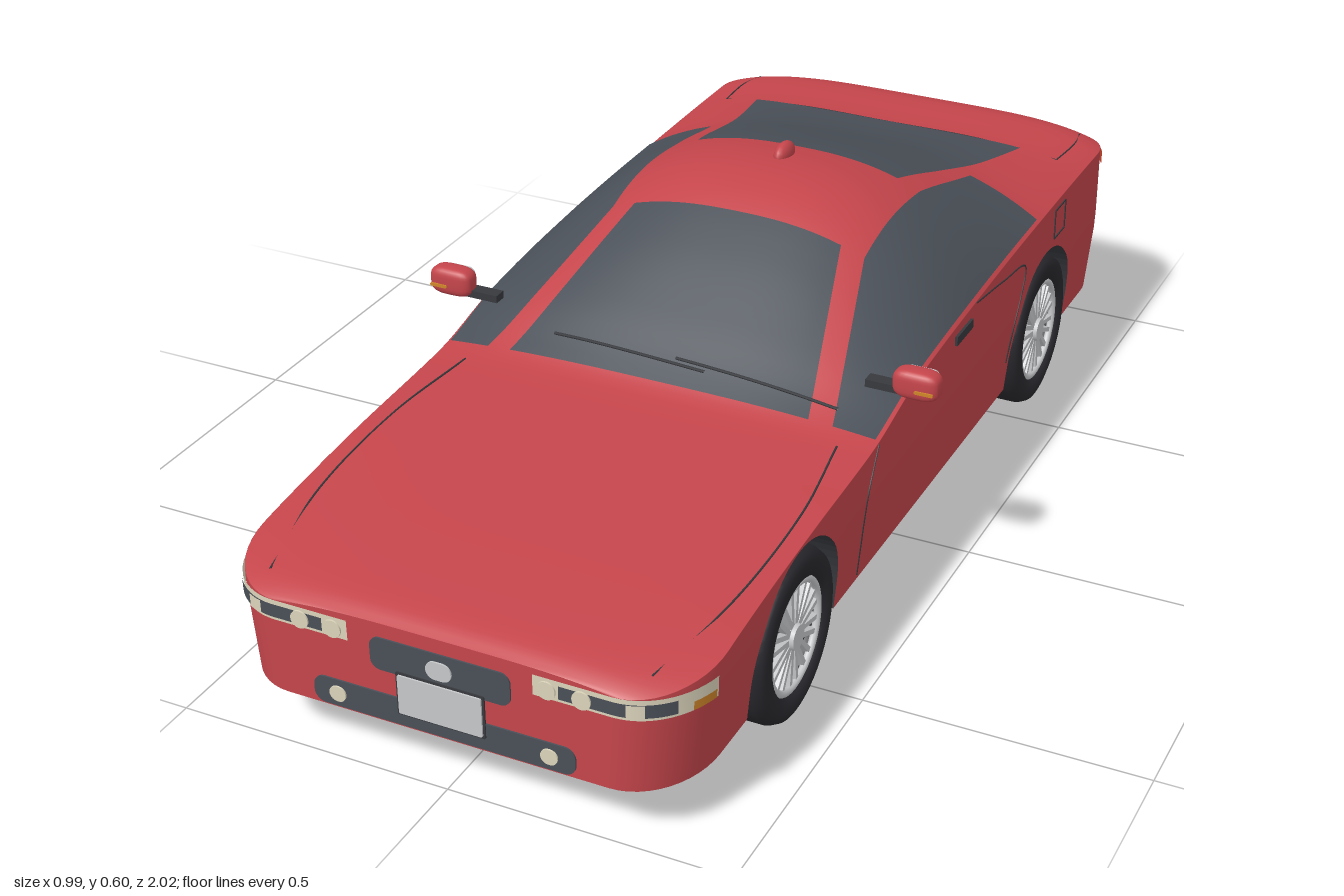
import * as THREE from 'three';

const mat = (name, color, side = THREE.DoubleSide) =>
  Object.assign(new THREE.MeshStandardMaterial({ color, side }), { name });

// Smooth curve through [z, value] pairs, ascending in z
function table(p) {
  const slope = (i) => {
    const a = p[Math.max(0, i - 1)], b = p[Math.min(p.length - 1, i + 1)];
    return (b[1] - a[1]) / (b[0] - a[0]);
  };
  return (z) => {
    let i = 0;
    while (i < p.length - 2 && z > p[i + 1][0]) i++;
    const d = p[i + 1][0] - p[i][0], t = Math.min(1, Math.max(0, (z - p[i][0]) / d)), t2 = t * t, t3 = t2 * t;
    return (2 * t3 - 3 * t2 + 1) * p[i][1] + (t3 - 2 * t2 + t) * d * slope(i)
      + (3 * t2 - 2 * t3) * p[i + 1][1] + (t3 - t2) * d * slope(i + 1);
  };
}

// Body rules: centre line height, shoulder height, roundness of the top, half width
const topY = table([[-1, .425], [-.95, .438], [-.8, .445], [-.65, .475], [-.5, .525], [-.35, .568], [-.22, .585],
  [-.12, .57], [0, .515], [.14, .435], [.24, .375], [.29, .354], [.5, .34], [.75, .322], [.9, .308], [.97, .298], [1, .285]]);
const beltY = table([[-1, .405], [-.9, .412], [-.5, .41], [-.2, .4], [.1, .38], [.25, .35], [.32, .342],
  [.58, .327], [.8, .305], [.93, .285], [1, .272]]);
const power = table([[-1, 5], [-.8, 5], [-.6, 3], [-.4, 2.6], [.2, 2.6], [.32, 3], [.6, 4], [1, 4]]);
const FRONT = { cx: .3, cz: .85, rx: .12, rz: .15 }, REAR = { cx: .33, cz: -.9, rx: .09, rz: -.1 };
function halfW(z) {
  const c = z > FRONT.cz ? FRONT : z < REAR.cz ? REAR : null;
  return c ? c.cx + c.rx * Math.sqrt(Math.max(0, 1 - ((z - c.cz) / c.rz) ** 2)) : .42;
}
const taper = (y) => .965 + .035 * Math.min(1, Math.max(0, (y - .1) / .15));
const sideX = (y, z) => halfW(z) * taper(y);
const height = (x, z) => {
  const b = beltY(z), t = Math.min(1, Math.abs(x) / halfW(z));
  return b + (topY(z) - b) * (1 - t ** power(z));
};
// Point lifted off the upper surface
function onTop(x, z, lift) {
  const e = .002, n = new THREE.Vector3(height(x - e, z) - height(x + e, z), 2 * e, height(x, z - e) - height(x, z + e));
  return n.normalize().multiplyScalar(lift).add(new THREE.Vector3(x, height(x, z), z));
}

// Surface from equal rows of points
function loft(rows) {
  const n = rows[0].length, idx = [];
  for (let i = 0; i < rows.length - 1; i++) for (let j = 0; j < n - 1; j++) {
    const a = i * n + j, c = a + n;
    idx.push(a, a + 1, c, a + 1, c + 1, c);
  }
  const g = new THREE.BufferGeometry();
  g.setAttribute('position', new THREE.Float32BufferAttribute(rows.flat().flatMap((v) => [v.x, v.y, v.z]), 3));
  g.setIndex(idx);
  g.computeVertexNormals();
  return g;
}

// Stations along the car with lower edge height, following the wheel arches
const AXLES = [-.6, .58], ARCH = .172;
function stations() {
  const s = [];
  const line = (a, b, n) => { for (let i = 0; i <= n; i++) s.push([a + (b - a) * i / n, .1]); };
  const arch = (c) => { for (let i = 0; i <= 28; i++) { const q = Math.PI * i / 28; s.push([c - ARCH * Math.cos(q), .15 + ARCH * Math.sin(q)]); } };
  for (let i = 0; i < 12; i++) s.push([-.9 - .1 * Math.cos(i / 12 * Math.PI / 2), .1]);
  line(-.9, AXLES[0] - ARCH, 6); arch(AXLES[0]);
  line(AXLES[0] + ARCH, AXLES[1] - ARCH, 44); arch(AXLES[1]);
  line(AXLES[1] + ARCH, .85, 5);
  for (let i = 1; i <= 12; i++) s.push([.85 + .15 * Math.sin(i / 12 * Math.PI / 2), .1]);
  return s;
}
function section(z, yb) {
  const half = [], b = beltY(z), w = halfW(z);
  for (let i = 0; i < 9; i++) { const y = yb + (b - yb) * i / 9; half.push(new THREE.Vector3(sideX(y, z), y, z)); }
  for (let i = 0; i <= 26; i++) { const x = w * Math.cos(i / 26 * Math.PI / 2); half.push(new THREE.Vector3(x, height(x, z), z)); }
  const other = half.slice(0, -1).reverse().map((v) => new THREE.Vector3(-v.x, v.y, v.z));
  return [...half, ...other];
}

export function createModel() {
  const car = new THREE.Group();
  car.name = 'car';
  const paint = mat('red paint', 0xc4454b), glass = mat('dark glass', 0x4a5058), trim = mat('dark trim', 0x37393d),
    rubber = mat('tyre rubber', 0x29292e), silver = mat('silver', 0xc6c8ca), cream = mat('lamp cream', 0xdcd5bc),
    amber = mat('amber', 0xd0862a), tail = mat('tail lamp red', 0xc8452a);
  const add = (name, geo, m, parent = car) => {
    const mesh = new THREE.Mesh(geo, m);
    mesh.name = name;
    parent.add(mesh);
    return mesh;
  };
  const box = (name, m, size, pos, parent) => {
    const b = add(name, new THREE.BoxGeometry(...size), m, parent);
    b.position.set(...pos);
    return b;
  };

  // Body shell, end faces, underside
  const st = stations();
  add('bodyShell', loft(st.map(([z, y]) => section(z, y))), paint);
  for (const e of [1, -1]) {
    const face = add(e > 0 ? 'nose' : 'tailPanel', new THREE.ShapeGeometry(new THREE.Shape(section(e, .1).map((v) => new THREE.Vector2(v.x, v.y)))), paint);
    face.position.z = e;
    if (e < 0) face.rotation.y = Math.PI;
  }
  const under = loft(st.map(([z, y]) => [-1, 1].map((s) => new THREE.Vector3(s * sideX(y, z), y, z)))).toNonIndexed();
  under.computeVertexNormals();
  add('underside', under, trim);

  // Windows: rows of [z, x from, x to]
  const pane = (name, rows, s = 1) => {
    const grid = [];
    for (let k = 0; k < rows.length - 1; k++) for (let i = k ? 1 : 0; i <= 16; i++) {
      const [z, a, b] = rows[k].map((v, q) => v + (rows[k + 1][q] - v) * i / 16);
      grid.push(Array.from({ length: 25 }, (_, j) => onTop(s * (a + (b - a) * j / 24), z, .004)));
    }
    add(name, loft(grid), glass);
  };
  pane('windscreen', [[-.07, -.205, .205], [.26, -.29, .29]]);
  pane('rearWindow', [[-.79, -.29, .29], [-.335, -.205, .205]]);

  // Plates that follow the rounded ends: u 0..1 flat part, 1..2 corner
  const wrap = (name, m, end, s, u0, u1, y0, y1, lift = .004) => {
    const d = Math.sign(end.rz);
    add(name, loft(Array.from({ length: 21 }, (_, i) => {
      const u = u0 + (u1 - u0) * i / 20, q = (2 - Math.max(1, u)) * Math.PI / 2;
      const x = u < 1 ? u * end.cx : end.cx + end.rx * Math.cos(q), z = end.cz + end.rz * Math.sin(q);
      return [y0, y1].map((y) => new THREE.Vector3(s * (x * taper(y) + lift * Math.cos(q)), y, z + d * lift * Math.sin(q)));
    })), m);
  };
  const tube = (name, pts, r = .002) => add(name, new THREE.TubeGeometry(new THREE.CatmullRomCurve3(pts, false, 'centripetal'), 40, r, 5), trim);
  const roundRect = (w, h, r) => {
    const p = new THREE.Shape();
    [[w / 2 - r, h / 2 - r, 0], [r - w / 2, h / 2 - r, 1], [r - w / 2, r - h / 2, 2], [w / 2 - r, r - h / 2, 3]]
      .forEach(([x, y, q]) => p.absarc(x, y, r, q * Math.PI / 2, (q + 1) * Math.PI / 2));
    return p;
  };
  const plate = (name, m, w, h, r, x, y, z) => {
    const p = add(name, new THREE.ExtrudeGeometry(roundRect(w, h, r), { depth: .003, bevelEnabled: false, curveSegments: 8 }), m);
    p.position.set(x, y, z);
    return p;
  };

  // Front and rear details
  plate('grille', glass, .25, .06, .018, 0, .23, 1.001);
  plate('lowerIntake', glass, .47, .05, .02, 0, .13, 1.001);
  plate('grilleOval', silver, .046, .033, .0164, 0, .23, 1.004);
  plate('frontPlateFrame', trim, .158, .08, .003, 0, .167, 1.003);
  plate('frontPlate', silver, .15, .072, .003, 0, .167, 1.006);
  plate('rearPlateFrame', trim, .158, .086, .003, 0, .26, -1.004);
  plate('rearPlate', silver, .15, .078, .003, 0, .26, -1.007);
  const exhaust = add('exhaust', new THREE.CylinderGeometry(.014, .014, .06, 16), silver);
  exhaust.rotation.x = Math.PI / 2;
  exhaust.position.set(-.26, .1, -.96);

  for (const s of [1, -1]) {
    pane('sideWindow', [[-.54, .275, .413], [-.335, .25, .413], [-.07, .25, .413], [.26, .335, .413]], s);

    // Head lamps
    wrap('headLamp', cream, FRONT, s, .55, 1.85, .238, .275);
    wrap('headLampInsert', glass, FRONT, s, .7, 1.5, .244, .268, .006);
    for (const x of [.19, .25]) plate('lampBulb', cream, .032, .032, .0158, s * x, .255, 1.006);
    wrap('cornerBulb', cream, FRONT, s, 1.12, 1.26, .244, .268, .008);
    wrap('frontIndicator', amber, FRONT, s, 1.62, 1.82, .24, .256, .006);
    plate('fogLamp', cream, .03, .028, .0138, s * .19, .13, 1.004);

    // Tail lamps and bumper strip
    wrap('tailLamp', tail, REAR, s, .6, 1.75, .372, .4);
    wrap('reverseLamp', cream, REAR, s, .78, .95, .376, .396, .006);
    wrap('rearIndicator', amber, REAR, s, 1.02, 1.35, .376, .396, .006);
    wrap('rearBumperStrip', glass, REAR, s, 0, 1.05, .14, .178);

    // Panel gaps, handle and fuel flap
    const side = (z, y) => new THREE.Vector3(s * sideX(y, z), y, z);
    tube('doorFrontGap', [[.31, .11], [.305, .26], [.28, .31], [.26, .345]].map((p) => side(...p)));
    tube('doorRearGap', [[-.2, .398], [-.35, .375], [-.475, .348], [-.46, .3], [-.425, .24], [-.41, .17]].map((p) => side(...p)));
    const strip = (xs) => xs.map(([x, z]) => onTop(s * x, z, 0));
    tube('bonnetGap', strip([[.36, .3], [.385, .5], [.38, .75], [.34, .95]]));
    tube('bootGap', strip([[0, -.8], [.2, -.8], [.365, -.8]]), .0015);
    tube('bootSideGap', strip([[.365, -.8], [.37, -.9], [.36, -.96]]), .0015);
    box('doorHandle', trim, [.01, .018, .08], [s * .42, .37, -.135]);
    if (s > 0) {
      const q = .03;
      [[q, 0, .003, .06], [-q, 0, .003, .06], [0, q, .06, .003], [0, -q, .06, .003]]
        .forEach(([dz, dy, h, l]) => box('fuelFlapGap', trim, [.004, l, h], [.42, .365 + dy, -.67 + dz]));
    }

    // Door mirrors
    box('mirrorArm', trim, [.07, .014, .025], [s * .395, .41, .17]);
    const shell = add('mirrorShell', new THREE.SphereGeometry(1, 24, 16), paint);
    const pos = shell.geometry.attributes.position;
    for (let i = 0; i < pos.count; i++) {
      const f = (v) => Math.sign(v) * Math.abs(v) ** .6;
      pos.setXYZ(i, .043 * f(pos.getX(i)), .027 * f(pos.getY(i)), .022 * f(pos.getZ(i)));
    }
    shell.geometry.computeVertexNormals();
    shell.position.set(s * .453, .428, .175);
    plate('mirrorGlass', silver, .062, .038, .012, s * .453, .428, .15);
    plate('mirrorIndicator', amber, .034, .006, .0025, s * .472, .422, .196);

    // Wheels
    for (const z of AXLES) {
      const wheel = new THREE.Group();
      wheel.name = 'wheel';
      wheel.position.set(s * .3625, .152, z);
      wheel.rotation.z = -s * Math.PI / 2;
      car.add(wheel);
      const prof = [[.098, -.03], [.1, -.055], [.13, -.0575], [.144, -.053], [.151, -.038], [.151, .038], [.144, .053], [.13, .0575], [.104, .055], [.1, .03]];
      add('tyre', new THREE.LatheGeometry(prof.map((p) => new THREE.Vector2(...p)), 48), rubber, wheel);
      add('wheelBack', new THREE.CylinderGeometry(.101, .101, .06, 40), trim, wheel);
      const rim = add('rimRing', new THREE.TorusGeometry(.097, .007, 8, 48), silver, wheel);
      rim.rotation.x = Math.PI / 2;
      rim.position.y = .046;
      add('hub', new THREE.CylinderGeometry(.022, .026, .02, 24), silver, wheel).position.y = .045;
      for (let k = 0; k < 10; k++) {
        const arm = new THREE.Group();
        arm.name = 'spoke';
        arm.rotation.y = k * Math.PI / 5;
        wheel.add(arm);
        for (const d of [-1, 1]) box('spokeBar', silver, [.078, .014, .009], [.057, .041, d * .009], arm).rotation.y = -d * .1;
      }
      // Inner wall of the wheel arch
      const wall = add('archWall', new THREE.CircleGeometry(ARCH, 32, 0, Math.PI), glass);
      wall.rotation.y = Math.PI / 2;
      wall.position.set(s * .3, .15, z);
      box('archWallLower', glass, [.004, .05, ARCH * 2], [s * .3, .125, z]);
    }
  }

  // Roof fin and wipers
  const fin = add('roofFin', new THREE.SphereGeometry(1, 20, 12), paint);
  fin.scale.set(.016, .022, .034);
  fin.position.set(0, .583, -.28);
  for (const [a, b] of [[-.22, .08], [.02, .33]]) {
    tube('wiper', Array.from({ length: 6 }, (_, i) => onTop(a + (b - a) * i / 5, .215 + .012 * i / 5, .01)), .003);
  }
  return car;
}
